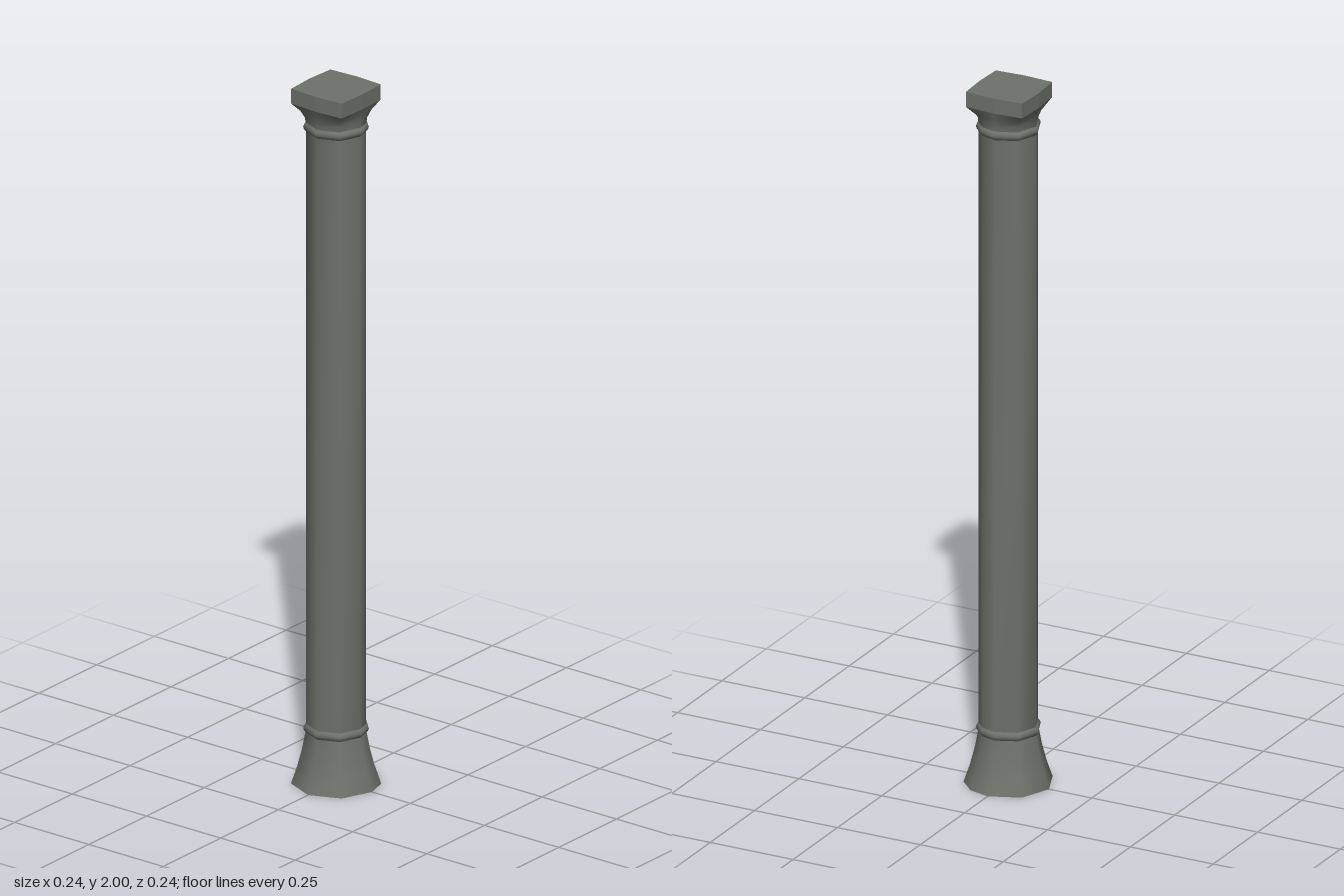
import * as THREE from 'three';

// The ring of corners around the column; one corner is chamfered in two.
const ANGLES = [0, 30, 60, 90, 135, 180, 225, 270, 315].map(THREE.MathUtils.degToRad);

const round = (r) => ANGLES.map((a) => [r * Math.cos(a), r * Math.sin(a)]);

// Square ring with slightly bowed sides; s blends from round (0) to square (1)
function squared(r, s) {
  const square = [[0.09, 0], [0.085, 0.084], [0.084, 0.085], [0, 0.089], [-0.085, 0.085],
    [-0.09, 0], [-0.085, -0.085], [0, -0.09], [0.085, -0.085]];
  return round(r).map(([x, z], i) => [
    THREE.MathUtils.lerp(x, square[i][0], s),
    THREE.MathUtils.lerp(z, square[i][1], s),
  ]);
}

// Side walls through a stack of [height, ring] sections
function loft(sections, flat = false) {
  const n = ANGLES.length, pos = [], index = [];
  for (const [y, ring] of sections) for (const [x, z] of ring) pos.push(x, y, z);
  for (let k = 0; k < sections.length - 1; k++) {
    for (let i = 0; i < n; i++) {
      const a = k * n + i, b = k * n + (i + 1) % n;
      index.push(a, a + n, b, b, a + n, b + n);
    }
  }
  let geo = new THREE.BufferGeometry();
  geo.setAttribute('position', new THREE.Float32BufferAttribute(pos, 3));
  geo.setIndex(index);
  if (flat) geo = geo.toNonIndexed();
  geo.computeVertexNormals();
  return geo;
}

// Flat end face
function cap(y, ring, up) {
  const pos = [0, y, 0], index = [], n = ring.length;
  for (const [x, z] of ring) pos.push(x, y, z);
  for (let i = 0; i < n; i++) {
    const a = i + 1, b = (i + 1) % n + 1;
    index.push(0, ...(up ? [b, a] : [a, b]));
  }
  const geo = new THREE.BufferGeometry();
  geo.setAttribute('position', new THREE.Float32BufferAttribute(pos, 3));
  geo.setIndex(index);
  geo.computeVertexNormals();
  return geo;
}

export function createModel() {
  const group = new THREE.Group();
  group.name = 'column';
  const stone = new THREE.MeshStandardMaterial({ color: 0x6b736a });
  stone.name = 'greyGreenStone';
  const add = (name, geo) => {
    const mesh = new THREE.Mesh(geo, stone);
    mesh.name = name;
    group.add(mesh);
  };
  const turned = (profile) => loft(profile.map(([y, r]) => [y, round(r)]));

  // Flared foot
  add('baseUnderside', cap(0, round(0.121), false));
  add('base', turned([[0, 0.121], [0.05, 0.104], [0.1, 0.091], [0.148, 0.082]]));

  // Shaft with a bead at each end
  add('shaft', turned([[0.148, 0.081], [1.9, 0.081]]));
  for (const [name, y] of [['lowerBead', 0.158], ['upperBead', 1.889]]) {
    add(name, turned([[y - 0.014, 0.08], [y - 0.007, 0.086], [y, 0.088], [y + 0.007, 0.086], [y + 0.014, 0.08]]));
  }

  // Capital: round neck opening into a square slab
  add('capital', loft([[1.895, round(0.081)], [1.915, squared(0.081, 0.06)],
    [1.935, squared(0.082, 0.35)], [1.957, squared(0.085, 1)]]));
  add('slab', loft([[1.957, squared(0.085, 1)], [2, squared(0.085, 1)]], true));
  add('slabTop', cap(2, squared(0.085, 1), true));
  return group;
}
